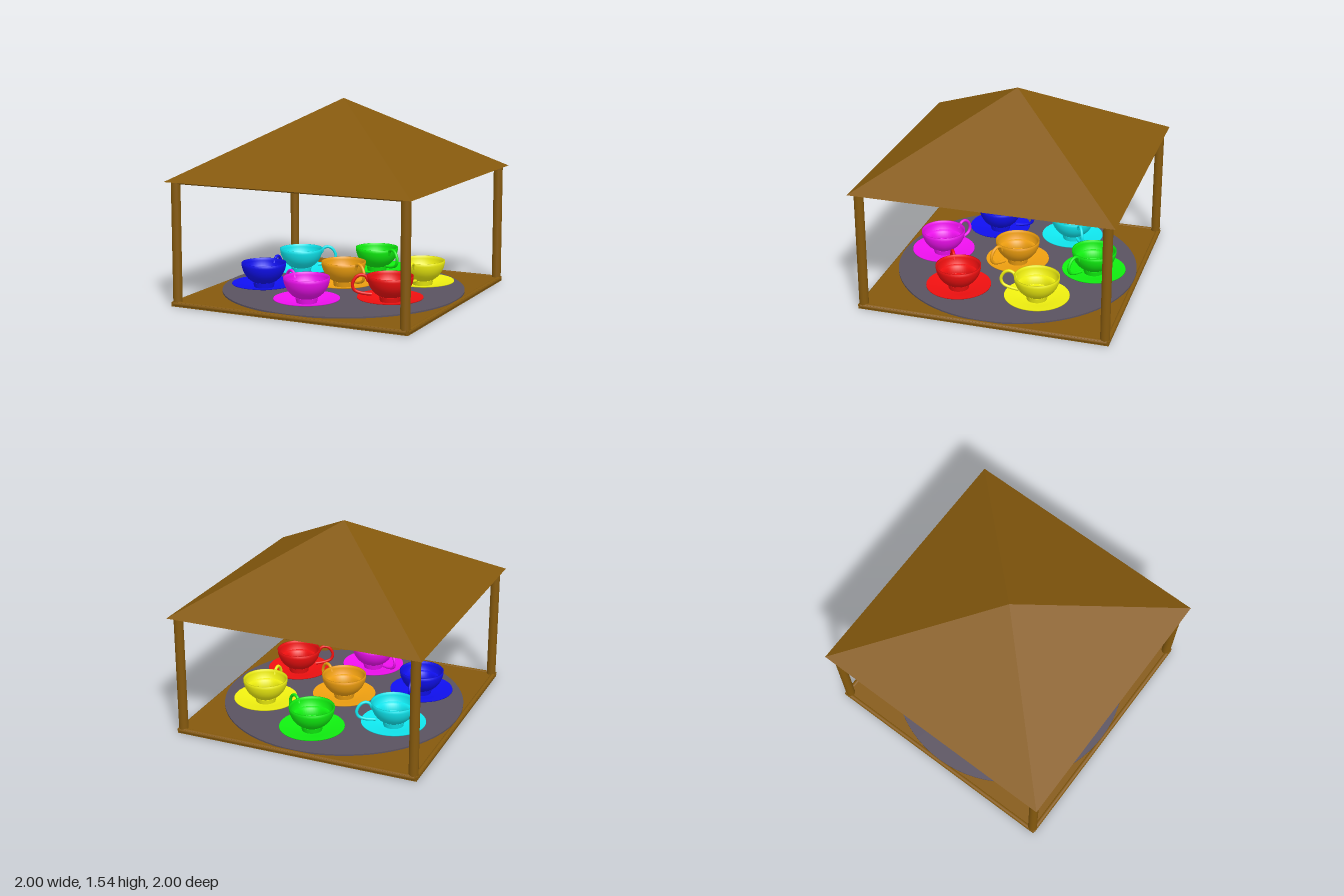
import * as THREE from 'three';

const mat = (color) => new THREE.MeshStandardMaterial({ color, side: THREE.DoubleSide });
const WOOD = mat(0x85590d);

function part(parent, name, geometry, material, x = 0, y = 0, z = 0) {
  const mesh = new THREE.Mesh(geometry, material);
  mesh.name = name;
  mesh.position.set(x, y, z);
  parent.add(mesh);
  return mesh;
}

// Round beam between two points
function beam(parent, name, a, b, radius, sides = 16) {
  const dir = b.clone().sub(a);
  const mid = a.clone().add(b).multiplyScalar(0.5);
  const mesh = part(parent, name, new THREE.CylinderGeometry(radius, radius, dir.length(), sides), WOOD, mid.x, mid.y, mid.z);
  mesh.quaternion.setFromUnitVectors(new THREE.Vector3(0, 1, 0), dir.normalize());
}

const lathe = (pts) => new THREE.LatheGeometry(pts.map(([x, y]) => new THREE.Vector2(x, y)), 40);

// Arc of a bowl profile, from the bottom (t0) out to the rim
function bowlArc(radius, rimY, t0) {
  const pts = [];
  for (let i = 0; i <= 12; i++) {
    const t = t0 + (Math.PI / 2 - t0) * (i / 12);
    pts.push([radius * Math.sin(t), rimY - radius * Math.cos(t)]);
  }
  return pts;
}

// Cup with saucer; the handle points along +x before turning
function createCup(name, color) {
  const cup = new THREE.Group();
  cup.name = name;
  const m = mat(color);
  part(cup, 'saucer', lathe([[0, 0.046], [0.07, 0.046], [0.13, 0.06], [0.25, 0.09], [0.249, 0.095], [0.13, 0.072], [0.07, 0.06], [0, 0.06]]), m);
  part(cup, 'foot', new THREE.CylinderGeometry(0.085, 0.075, 0.05, 32), m, 0, 0.075, 0);
  part(cup, 'bowl', lathe([...bowlArc(0.175, 0.255, 0), ...bowlArc(0.165, 0.255, 0).reverse()]), m);
  // Ring seat and floor inside the bowl
  part(cup, 'seat', lathe([[0.15, 0.185], [0.105, 0.185], [0.105, 0.12]]), m);
  part(cup, 'floor', new THREE.CylinderGeometry(0.108, 0.1, 0.01, 32), m, 0, 0.122, 0);
  const path = new THREE.CatmullRomCurve3([
    [0.165, 0.215], [0.185, 0.252], [0.218, 0.264], [0.258, 0.245],
    [0.284, 0.19], [0.268, 0.148], [0.215, 0.125], [0.14, 0.115],
  ].map(([x, y]) => new THREE.Vector3(x, y, 0)));
  part(cup, 'handle', new THREE.TubeGeometry(path, 32, 0.012, 10), m);
  return cup;
}

export function createModel() {
  const model = new THREE.Group();
  model.name = 'teacupPavilion';

  // Floor and turntable
  part(model, 'base', new THREE.BoxGeometry(1.94, 0.034, 1.94), WOOD, 0, 0.017, 0);
  part(model, 'turntable', new THREE.CylinderGeometry(0.95, 0.95, 0.02, 72), mat(0x5a5260), 0, 0.036, 0);

  // Posts, edge beams and hip rafters, one set per corner
  const corner = (i, r, y) => {
    const a = Math.PI / 4 + (i * Math.PI) / 2;
    return new THREE.Vector3(r * Math.SQRT2 * Math.cos(a), y, r * Math.SQRT2 * Math.sin(a));
  };
  const frame = new THREE.Group();
  frame.name = 'frame';
  model.add(frame);
  for (let i = 0; i < 4; i++) {
    beam(frame, 'post', corner(i, 0.935, 0), corner(i, 0.935, 0.96), 0.036);
    beam(frame, 'lowerBeam', corner(i, 0.955, 0.02), corner(i + 1, 0.955, 0.02), 0.02);
    beam(frame, 'upperBeam', corner(i, 0.935, 0.953), corner(i + 1, 0.935, 0.953), 0.022);
    beam(frame, 'rafter', corner(i, 0.93, 0.955), corner(i, 0.02, 1.485), 0.022);
  }

  // Open pyramid roof
  const roofGeo = new THREE.ConeGeometry(Math.SQRT2, 0.587, 4, 1, true).toNonIndexed();
  roofGeo.rotateY(Math.PI / 4);
  roofGeo.computeVertexNormals();
  part(model, 'roof', roofGeo, WOOD, 0, 0.95 + 0.2935, 0);

  // Centre cup and a ring of six, each turned one step further
  const centre = createCup('centreCup', 0xf0a010);
  centre.rotation.y = -Math.PI / 6;
  model.add(centre);
  const colors = [0xf010f0, 0xf01010, 0xf0f010, 0x10f010, 0x10e8f0, 0x1010f0];
  colors.forEach((color, i) => {
    const a = Math.PI / 2 - (i * Math.PI) / 3;
    const cup = createCup('ringCup' + (i + 1), color);
    cup.position.set(0.625 * Math.cos(a), 0, 0.625 * Math.sin(a));
    cup.rotation.y = -(a + (2 * Math.PI) / 3);
    model.add(cup);
  });
  return model;
}
